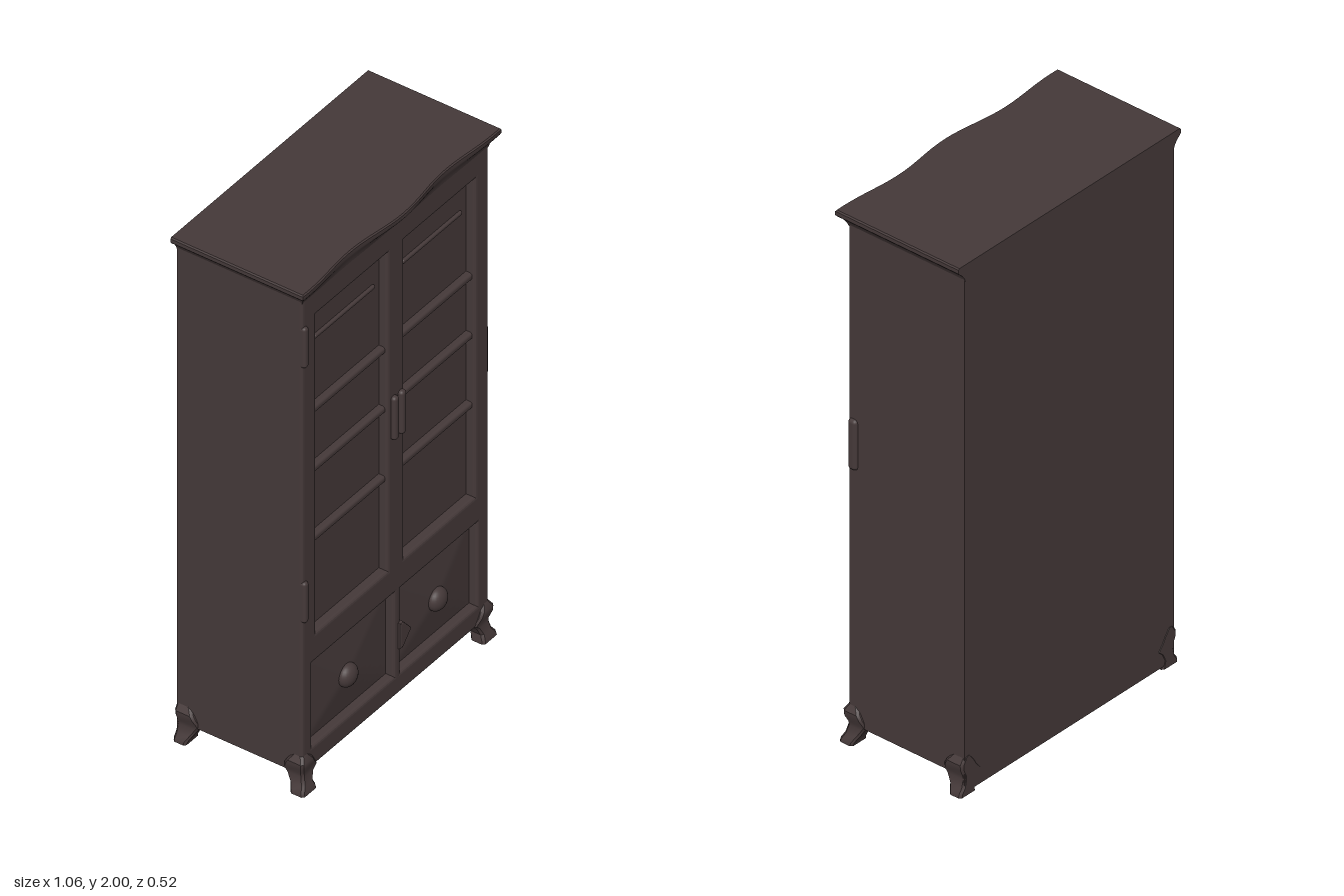
import * as THREE from 'three';
import { RoundedBoxGeometry } from 'three/addons/geometries/RoundedBoxGeometry.js';
import { toCreasedNormals } from 'three/addons/utils/BufferGeometryUtils.js';

const wood = new THREE.MeshStandardMaterial({ color: 0x453939 });
wood.name = 'darkWood';

// Closed loft through rings of equal length, each counter-clockwise seen from above, bottom to top
function loft(rings) {
  const n = rings[0].length, pos = [], idx = [];
  rings.forEach(r => r.forEach(p => pos.push(...p)));
  for (let k = 0; k < rings.length - 1; k++)
    for (let i = 0; i < n; i++) {
      const a = k * n + i, b = k * n + (i + 1) % n;
      idx.push(a, b, b + n, a, b + n, a + n);
    }
  const cap = (ring, offset, up) => {
    const pts = ring.map(p => new THREE.Vector2(p[0], -p[2]));
    for (const [a, b, c] of THREE.ShapeUtils.triangulateShape(pts, []))
      idx.push(offset + a, offset + (up ? b : c), offset + (up ? c : b));
  };
  cap(rings[0], 0, false);
  cap(rings[rings.length - 1], (rings.length - 1) * n, true);
  const g = new THREE.BufferGeometry();
  g.setAttribute('position', new THREE.Float32BufferAttribute(pos, 3));
  g.setIndex(idx);
  return toCreasedNormals(g, 0.6);
}

export function createModel() {
  const model = new THREE.Group();
  model.name = 'cabinet';
  const add = (name, geo, x = 0, y = 0, z = 0) => {
    const m = new THREE.Mesh(geo, wood);
    m.name = name;
    m.position.set(x, y, z);
    model.add(m);
    return m;
  };
  // Box given by its limits, optionally rounded
  const block = (name, x0, x1, y0, y1, z0, z1, r = 0) => {
    const s = [x1 - x0, y1 - y0, z1 - z0];
    const g = r ? new RoundedBoxGeometry(...s, 3, r) : new THREE.BoxGeometry(...s);
    return add(name, g, (x0 + x1) / 2, (y0 + y1) / 2, (z0 + z1) / 2);
  };

  // Carcass, and the back panel that reaches almost to the floor
  block('carcass', -0.5, 0.5, 0.07, 1.96, -0.26, 0.19);
  block('rearApron', -0.5, 0.5, 0.012, 0.08, -0.26, -0.22);

  // Front frame with two door openings and two drawer openings
  const rect = (S, x0, x1, y0, y1) => {
    const s = new S();
    s.moveTo(x0, y0); s.lineTo(x1, y0); s.lineTo(x1, y1); s.lineTo(x0, y1); s.closePath();
    return s;
  };
  const doors = [[-0.425, -0.042], [0.048, 0.425]];
  const drawers = [[-0.445, -0.008], [0.028, 0.438]];
  const frame = rect(THREE.Shape, -0.5, 0.5, 0.07, 1.96);
  doors.forEach(([a, b]) => frame.holes.push(rect(THREE.Path, a, b, 0.59, 1.85)));
  drawers.forEach(([a, b]) => frame.holes.push(rect(THREE.Path, a, b, 0.15, 0.48)));
  add('frontFrame', new THREE.ExtrudeGeometry(frame, {
    depth: 0.035, bevelThickness: 0.01, bevelSize: 0.012, bevelOffset: -0.012, bevelSegments: 3,
  }), 0, 0, 0.18);

  // Door shelves
  for (const [a, b] of doors) {
    for (const y of [0.95, 1.225, 1.46])
      block('shelfRail', a - 0.01, b + 0.01, y - 0.013, y + 0.013, 0.18, 0.214, 0.01);
    block('upperLedge', a + 0.03, b - 0.03, 1.72, 1.735, 0.18, 0.2, 0.006);
  }

  // Drawer fronts rise gently towards their knobs
  drawers.forEach(([a, b], i) => {
    const kx = i ? 0.24 : -0.24, g = new THREE.PlaneGeometry(b - a, 0.33, 20, 16);
    const p = g.attributes.position, cx = (a + b) / 2;
    for (let k = 0; k < p.count; k++) {
      const x = p.getX(k) + cx, y = p.getY(k) + 0.315;
      const u = (x - kx) / (x < kx ? a - kx : b - kx), v = (y - 0.3) / (y < 0.3 ? -0.15 : 0.18);
      p.setZ(k, 0.02 * (1 - Math.max(Math.abs(u), Math.abs(v))));
    }
    g.computeVertexNormals();
    add('drawerFront', g, cx, 0.315, 0.192);
    const knob = add('drawerKnob', new THREE.SphereGeometry(0.042, 24, 16), kx, 0.3, 0.212);
    knob.scale.z = 0.72;
  });

  // Pointed latch between the drawers
  const latch = new THREE.Shape();
  latch.moveTo(0.012, 0.25); latch.lineTo(0.03, 0.25); latch.lineTo(0.075, 0.3);
  latch.lineTo(0.03, 0.352); latch.lineTo(0.012, 0.352); latch.closePath();
  add('drawerLatch', new THREE.ExtrudeGeometry(latch, {
    depth: 0.035, bevelThickness: 0.008, bevelSize: 0.006, bevelOffset: -0.006, bevelSegments: 2,
  }), 0, 0, 0.192);

  // Door handles, hinges and side catch
  for (const x of [-0.012, 0.027])
    block('doorHandle', x - 0.014, x + 0.014, 1.1, 1.27, 0.2, 0.242, 0.012);
  for (const y of [0.75, 1.76])
    block('hinge', -0.5, -0.475, y - 0.08, y + 0.08, 0.2, 0.236, 0.011);
  block('sideCatch', 0.48, 0.512, 1.03, 1.22, 0.183, 0.22, 0.014);

  // Cornice: flaring moulding with a serpentine front edge
  const corniceRing = ([y, half, dz, wave]) => {
    const ring = [];
    for (let i = 0; i <= 32; i++) {
      const t = i / 16 - 1, x = t * half;
      const fade = 1 - 0.65 * t * t;
      ring.push([x, y, 0.246 + dz + wave * 0.013 * fade * Math.cos(Math.PI * 2 * x / 0.54)]);
    }
    ring.push([half, y, -0.262], [-half, y, -0.262]);
    return ring;
  };
  add('cornice', loft([
    [1.935, 0.497, -0.022, 0], [1.95, 0.503, -0.019, 0.1], [1.963, 0.512, -0.012, 0.4],
    [1.975, 0.526, -0.003, 0.9], [1.981, 0.531, 0, 1], [1.995, 0.531, 0, 1], [2, 0.527, -0.004, 1],
  ].map(corniceRing)));

  // Bracket feet: [y, inner x, outer x, inner z, front z]
  const footProfile = [
    [0, 0.445, 0.522, 0.19, 0.245], [0.012, 0.447, 0.52, 0.188, 0.243], [0.03, 0.452, 0.507, 0.178, 0.235],
    [0.06, 0.438, 0.5, 0.16, 0.228], [0.075, 0.42, 0.502, 0.15, 0.228],
    [0.1, 0.44, 0.513, 0.16, 0.236], [0.118, 0.45, 0.514, 0.17, 0.237], [0.145, 0.47, 0.497, 0.19, 0.222],
  ];
  for (const sx of [-1, 1]) for (const back of [false, true]) {
    const rings = footProfile.map(([y, xi, xo, zi, zo]) => {
      const z0 = back ? -0.262 : zi, z1 = back ? -zi - 0.022 : zo;
      const x0 = sx > 0 ? xi : -xo, x1 = sx > 0 ? xo : -xi, c = 0.008;
      return [[x0, y, z1 - c], [x0 + c, y, z1], [x1 - c, y, z1], [x1, y, z1 - c],
        [x1, y, z0 + c], [x1 - c, y, z0], [x0 + c, y, z0], [x0, y, z0 + c]];
    });
    add(back ? 'backFoot' : 'frontFoot', loft(rings));
  }
  return model;
}
